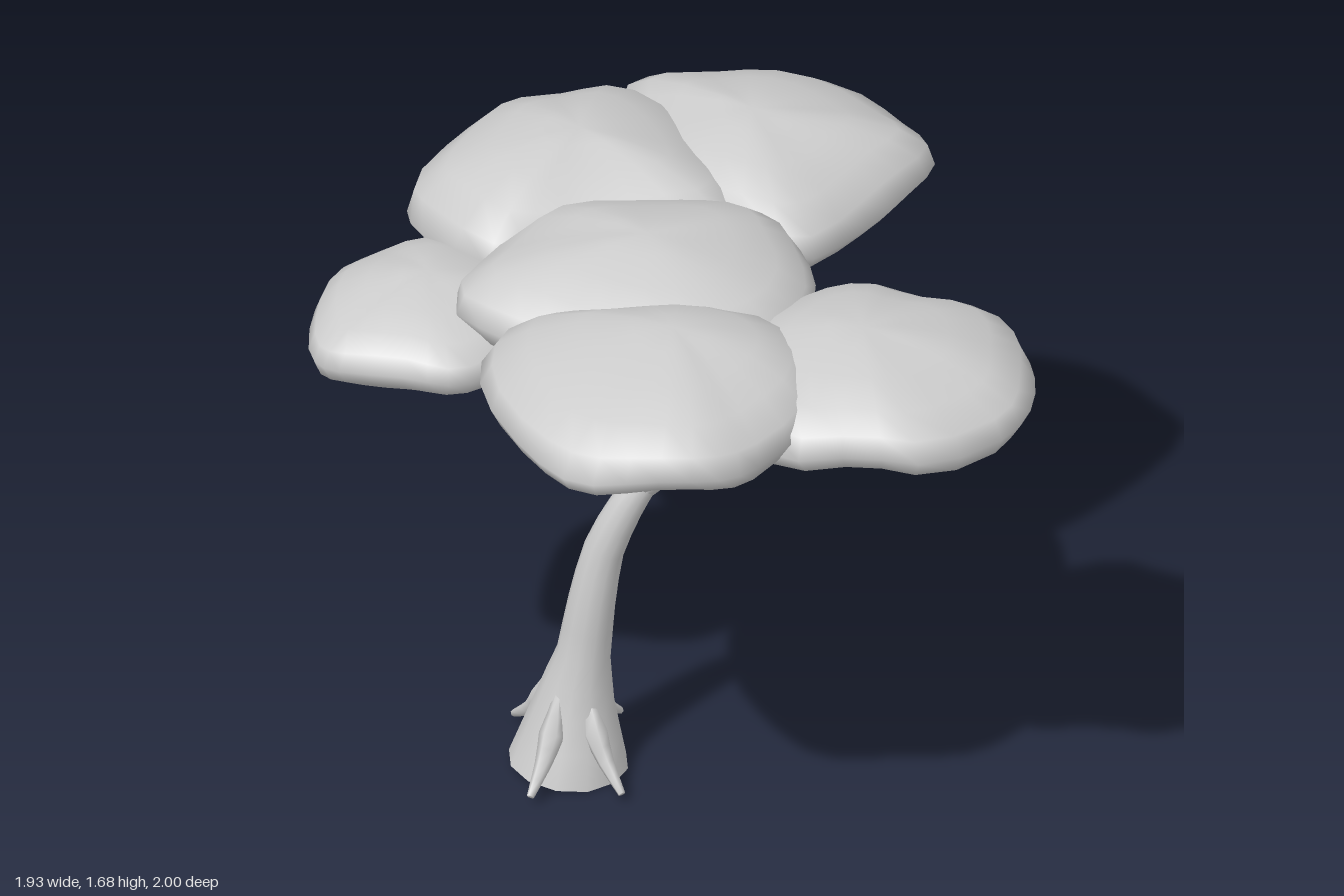
import * as THREE from 'three';
import { mergeVertices } from 'three/addons/utils/BufferGeometryUtils.js';

const V = (a) => new THREE.Vector3(...a);
const UP = new THREE.Vector3(0, 1, 0);

const grey = new THREE.MeshStandardMaterial({ color: 0xcccccc, side: THREE.DoubleSide });
grey.name = 'plain grey';

// Weld seams and give smooth normals
function smooth(geo) {
  geo.deleteAttribute('uv');
  geo.deleteAttribute('normal');
  const g = mergeVertices(geo, 1e-4);
  g.computeVertexNormals();
  return g;
}

// Tapered limb: each stop is [x, y, z, radius]; low tension gives sharp bends
function limb(name, stops, sides, rows, tension, capped = false) {
  const curve = new THREE.CatmullRomCurve3(stops.map((s) => V(s.slice(0, 3))), false, 'catmullrom', tension);
  const geo = new THREE.CylinderGeometry(1, 1, 1, sides, rows, !capped);
  const pos = geo.attributes.position;
  const q = new THREE.Quaternion();
  const v = new THREE.Vector3();
  for (let i = 0; i < pos.count; i++) {
    const t = THREE.MathUtils.clamp(pos.getY(i) + 0.5, 0, 1);
    const f = t * (stops.length - 1);
    const k = Math.min(Math.floor(f), stops.length - 2);
    const r = THREE.MathUtils.lerp(stops[k][3], stops[k + 1][3], f - k);
    q.setFromUnitVectors(UP, curve.getTangent(t));
    v.set(pos.getX(i) * r, 0, pos.getZ(i) * r).applyQuaternion(q).add(curve.getPoint(t));
    pos.setXYZ(i, v.x, Math.max(v.y, 0), v.z);
  }
  const mesh = new THREE.Mesh(smooth(geo), grey);
  mesh.name = name;
  return mesh;
}

// Lens-shaped leaf clump: outline and peak in [x, z] from above, with bottom, rim and top heights
function clump(name, [bottom, rim, top], peak, outline, seed) {
  const pts = outline.map(([x, z]) => new THREE.Vector2(x, z));
  if (THREE.ShapeUtils.area(pts) > 0) pts.reverse();
  const curve = new THREE.CatmullRomCurve3(pts.map((p) => new THREE.Vector3(p.x, 0, p.y)), true);
  const c = new THREE.Box2().setFromPoints(pts).getCenter(new THREE.Vector2());
  const cols = 26, rows = 10;
  const geo = new THREE.SphereGeometry(1, cols, rows);
  const pos = geo.attributes.position;
  for (let i = 0; i < pos.count; i++) {
    const u = (i % (cols + 1)) / cols;
    const y = pos.getY(i);
    const a = u * Math.PI * 2;
    const ring = Math.pow(Math.max(0, 1 - y * y), y > 0 ? 0.62 : 0.84);
    const p = curve.getPoint(u % 1);
    // gentle lumps that fade out at the poles and the rim
    const lump = 0.06 * Math.sin(3 * a + seed + 2 * y) + 0.05 * Math.sin(5 * a + seed * 2 - 3 * y);
    const inner = ring * (1 + lump * Math.abs(y) * ring);
    const h = y > 0 ? (top - rim) * y : (rim - bottom) * y;
    const wave = 0.008 * Math.sin(4 * a + seed) * ring;
    const lean = y > 0 ? y * y : 0;
    pos.setXYZ(i,
      c.x + (p.x - c.x) * inner + (peak[0] - c.x) * lean,
      rim + h + wave,
      c.y + (p.z - c.y) * inner + (peak[1] - c.y) * lean);
  }
  const mesh = new THREE.Mesh(smooth(geo), grey);
  mesh.name = name;
  return mesh;
}

export function createModel() {
  const tree = new THREE.Group();
  tree.name = 'tree';

  // Leaning trunk with a flared, open foot
  tree.add(limb('trunk', [
    [-0.23, 0.005, -0.33, 0.16], [-0.22, 0.19, -0.315, 0.108], [-0.214, 0.35, -0.29, 0.072],
    [-0.205, 0.51, -0.27, 0.063], [-0.185, 0.67, -0.245, 0.054], [-0.15, 0.8, -0.2, 0.047], [-0.115, 0.88, -0.165, 0.04],
  ], 12, 12, 0.4));

  // Four roots around the foot, given by the offset of each tip
  const roots = new THREE.Group();
  roots.name = 'roots';
  for (const [dx, dz] of [[-0.24, 0.07], [-0.07, 0.24], [0.245, -0.045], [0.05, -0.245]]) {
    const at = (k, y, r) => [-0.225 + dx * k, y, -0.325 + dz * k, r];
    roots.add(limb('root', [at(0.32, 0.25, 0.01), at(0.48, 0.15, 0.034), at(0.7, 0.085, 0.022), at(1, 0.03, 0.01)], 6, 6, 0.3, true));
  }
  tree.add(roots);

  // Branches fan out from the fork and bend at a knee
  const branches = new THREE.Group();
  branches.name = 'branches';
  [
    [[-0.31, 1.23, -0.38], [-0.46, 1.28, -0.54]],
    [[0.01, 1.27, -0.37], [0.05, 1.38, -0.5]],
    [[0.2, 1.26, -0.25], [0.4, 1.34, -0.3]],
    [[-0.1, 1.24, 0.2], [-0.08, 1.31, 0.46]],
    [[-0.3, 1.27, 0.02], [-0.4, 1.38, 0.1]],
  ].forEach(([knee, tip]) => {
    const mid = V([-0.115, 0.85, -0.165]).lerp(V(knee), 0.5).toArray();
    branches.add(limb('branch', [[-0.115, 0.85, -0.165, 0.026], [...mid, 0.031], [...knee, 0.024], [...tip, 0.017]], 8, 9, 0.1));
  });
  tree.add(branches);

  // Flat leaf canopy
  const canopy = new THREE.Group();
  canopy.name = 'canopy';
  canopy.add(
    clump('backRightLeaves', [1.225, 1.37, 1.51], [-0.48, -0.6], [[-0.2, -0.75], [-0.32, -0.88], [-0.47, -0.91], [-0.67, -0.83],
      [-0.83, -0.7], [-0.85, -0.6], [-0.76, -0.42], [-0.68, -0.31], [-0.5, -0.27], [-0.25, -0.33], [-0.17, -0.55]], 1),
    clump('backLeaves', [1.29, 1.46, 1.68], [0.12, -0.6], [[0.52, -0.83], [0.4, -0.95], [0.25, -1], [0.05, -0.99], [-0.2, -0.92],
      [-0.29, -0.8], [-0.32, -0.53], [-0.15, -0.4], [0.05, -0.24], [0.25, -0.13], [0.43, -0.33], [0.54, -0.6]], 2.2),
    clump('leftLeaves', [1.31, 1.45, 1.65], [0.53, -0.36], [[0.58, -0.85], [0.74, -0.77], [0.88, -0.63], [0.96, -0.37], [0.94, -0.17],
      [0.88, -0.03], [0.7, 0.03], [0.5, 0.05], [0.27, 0.03], [0.2, -0.2], [0.22, -0.5], [0.4, -0.72]], 3.1),
    clump('middleLeaves', [1.29, 1.48, 1.66], [-0.14, -0.13], [[-0.58, -0.25], [-0.55, -0.45], [-0.33, -0.54], [-0.12, -0.58],
      [0.08, -0.46], [0.27, -0.25], [0.3, -0.08], [0.27, 0.05], [0.15, 0.2], [-0.1, 0.32], [-0.35, 0.25], [-0.52, 0]], 4.3),
    clump('rightLeaves', [1.3, 1.46, 1.65], [-0.44, 0.22], [[-0.57, -0.28], [-0.78, -0.15], [-0.93, 0.13], [-0.96, 0.35], [-0.85, 0.5],
      [-0.72, 0.62], [-0.58, 0.65], [-0.33, 0.62], [-0.15, 0.5], [-0.09, 0.33], [-0.19, 0.05], [-0.38, -0.15]], 5.2),
    clump('frontLeaves', [1.27, 1.43, 1.61], [-0.06, 0.55], [[0.17, 0.18], [0.29, 0.27], [0.32, 0.42], [0.4, 0.6], [0.35, 0.75], [0.25, 0.88],
      [0.13, 0.97], [0, 1], [-0.25, 0.95], [-0.35, 0.8], [-0.48, 0.64], [-0.42, 0.4], [-0.22, 0.22], [0, 0.17]], 0.4),
  );
  tree.add(canopy);
  return tree;
}
